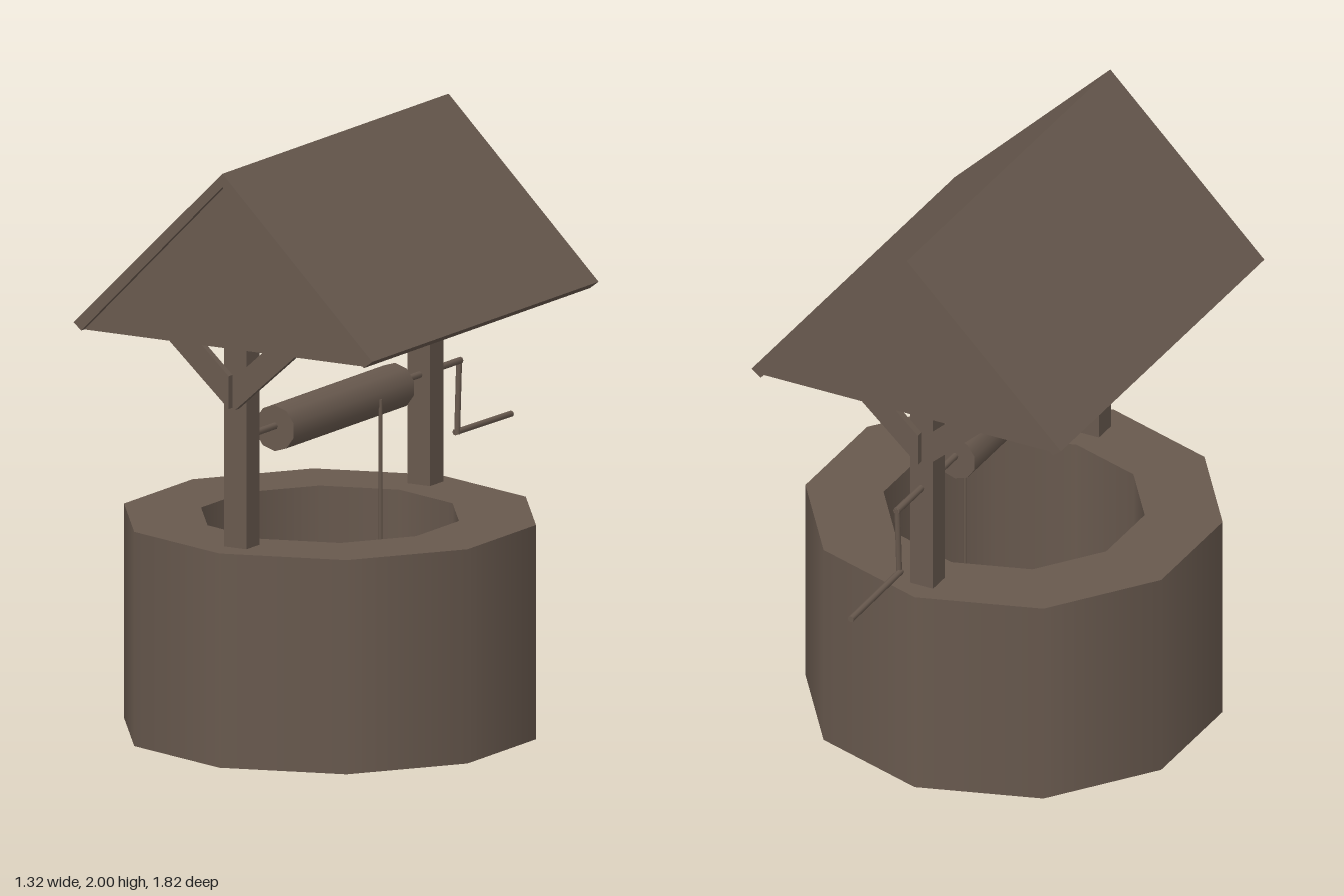
import * as THREE from 'three';

export function createModel() {
  const group = new THREE.Group();
  const wood = new THREE.MeshStandardMaterial({ color: 0x68594e, side: THREE.DoubleSide });
  wood.name = 'brown';
  const dark = new THREE.MeshStandardMaterial({ color: 0x050505, side: THREE.DoubleSide });
  dark.name = 'black';

  function add(name, geometry, x = 0, y = 0, z = 0, material = wood) {
    const mesh = new THREE.Mesh(geometry, material);
    mesh.name = name;
    mesh.position.set(x, y, z);
    group.add(mesh);
    return mesh;
  }

  // Round bar between two points
  function rod(name, a, b, radius, sides = 8) {
    const from = new THREE.Vector3(...a), to = new THREE.Vector3(...b);
    const dir = to.clone().sub(from);
    const mesh = add(name, new THREE.CylinderGeometry(radius, radius, dir.length(), sides));
    mesh.position.copy(from).add(to).multiplyScalar(0.5);
    mesh.quaternion.setFromUnitVectors(new THREE.Vector3(0, 1, 0), dir.normalize());
  }

  // Flat outline in x and y, extruded from z0 to z1
  function slab(name, points, z0, z1) {
    const shape = new THREE.Shape(points.map(([x, y]) => new THREE.Vector2(x, y)));
    add(name, new THREE.ExtrudeGeometry(shape, { depth: z1 - z0, bevelEnabled: false }), 0, 0, z0);
  }

  // Ten-sided well: outer shell, rim, inner shaft and water
  const R = 0.695, r = 0.435, top = 0.72, water = 0.22, cz = 0.205;
  const flat = (inner, outer) => new THREE.RingGeometry(inner, outer, 10, 1, Math.PI / 2).rotateX(-Math.PI / 2);
  add('wellWall', new THREE.CylinderGeometry(R, R, top, 10, 1, true), 0, top / 2, cz);
  add('wellRim', flat(r, R), 0, top, cz);
  add('wellShaft', new THREE.CylinderGeometry(r, r, top - water, 10, 1, true), 0, (top + water) / 2, cz);
  add('water', new THREE.CircleGeometry(r, 10, Math.PI / 2).rotateX(-Math.PI / 2), 0, water, cz, dark);

  // Posts and the plank they carry
  const postTop = 1.7;
  for (const [name, x, z] of [['frontPost', 0, 0.758], ['backPost', 0.015, -0.37]]) {
    add(name, new THREE.BoxGeometry(0.086, postTop - top, 0.084), x, (postTop + top) / 2, z);
  }
  add('ridgePlank', new THREE.BoxGeometry(0.28, 0.06, 1.24), 0.008, postTop + 0.03, 0.195);

  // Diagonal braces on the outer faces of the posts
  for (const [name, z0, z1] of [['frontBrace', 0.8, 0.825], ['backBrace', -0.437, -0.412]]) {
    for (const s of [1, -1]) {
      const outline = [[0.013, 1.19], [0.35, 1.49], [0.29, 1.55], [0.013, 1.3]];
      slab(name, outline.map(([x, y]) => [0.003 + s * x, y]), z0, z1);
    }
  }

  // Roof with gables set slightly in
  const apex = [0.018, 1.955], left = [-0.525, 1.41], right = [0.562, 1.41];
  slab('roof', [[-0.555, 1.435], left, apex, right, [0.595, 1.435], [0.018, 2]], -0.51, 0.91);
  slab('frontGable', [left, right, apex], 0.87, 0.89);
  slab('backGable', [left, right, apex], -0.49, -0.47);

  // Winding drum, axle, crank and rope
  const ax = 0.017, ay = 1.085;
  rod('drum', [ax, 1.082, -0.175], [ax, 1.082, 0.58], 0.077, 10);
  rod('axle', [ax, ay + 0.005, -0.585], [ax, ay + 0.005, 0.74], 0.012);
  rod('crankArm', [ax, 1.098, -0.578], [ax, 0.845, -0.565], 0.01);
  rod('crankHandle', [0.013, 0.852, -0.56], [0.013, 0.848, -0.91], 0.011);
  rod('rope', [0.092, 1.085, 0.038], [0.092, water, 0.038], 0.006, 6);

  return group;
}
